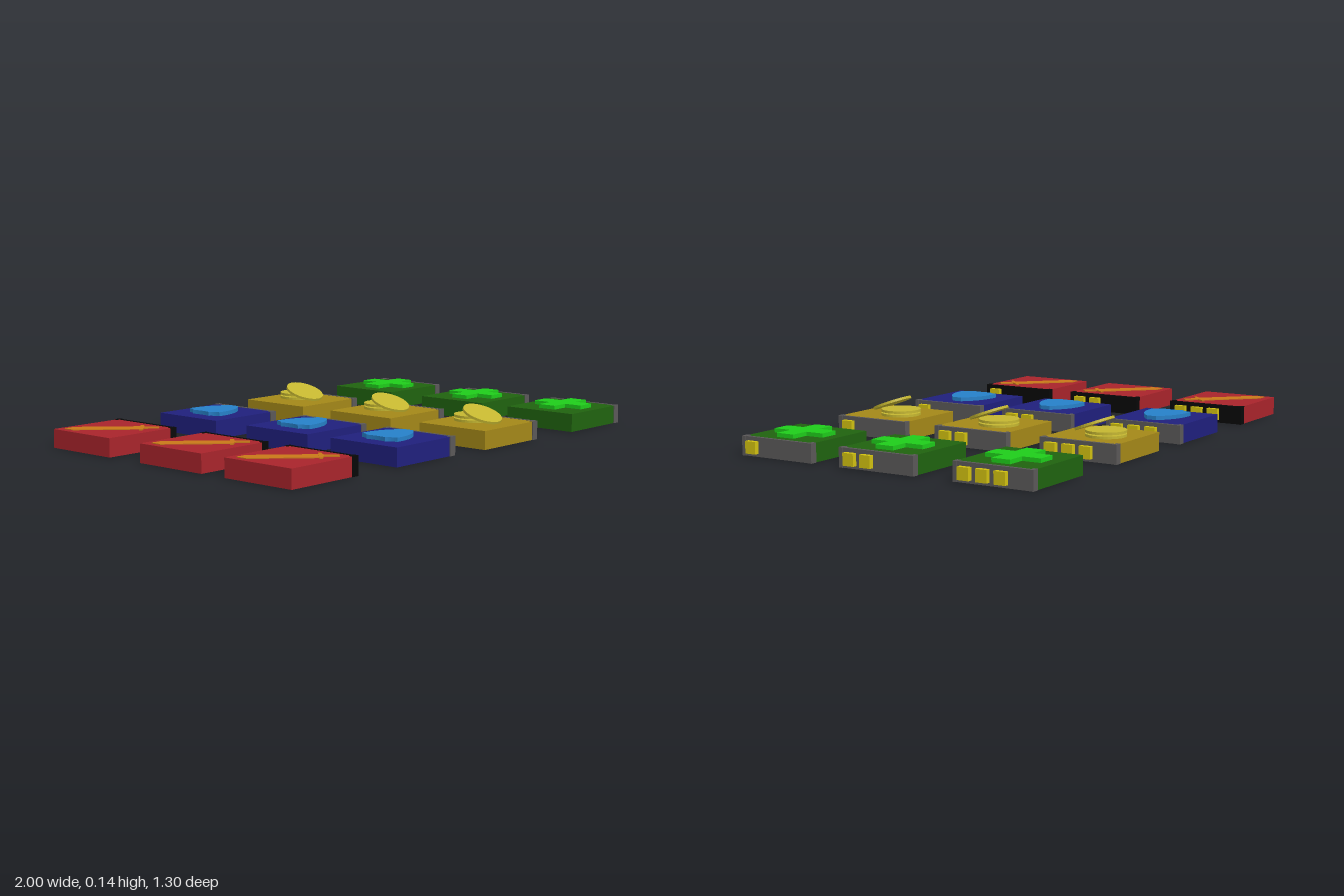
import * as THREE from 'three';

const mat = (color) => new THREE.MeshStandardMaterial({ color, flatShading: true });
const clasp = mat(0xd0c010);
const H = 0.074; // top face of a box

function add(parent, name, geometry, material, x = 0, y = 0, z = 0) {
  const mesh = new THREE.Mesh(geometry, material);
  mesh.name = name;
  mesh.position.set(x, y, z);
  parent.add(mesh);
  return mesh;
}

// Flat outline in (x, -z), raised by a thickness
function slab(shape, depth) {
  const g = new THREE.ExtrudeGeometry(shape, { depth, bevelEnabled: false, curveSegments: 8 });
  return g.rotateX(-Math.PI / 2);
}
const polygon = (points) => new THREE.Shape(points.map(([x, y]) => new THREE.Vector2(x, y)));

// Diagonal sword, lying almost flush in the lid
function sword() {
  const group = new THREE.Group();
  const steel = mat(0xc87818);
  const blade = polygon([[-0.184, 0], [-0.15, 0.033], [0.108, 0.033], [0.108, -0.033], [-0.15, -0.033]]);
  add(group, 'swordBlade', slab(blade, 0.006), steel, 0, H - 0.003);
  const guard = polygon([[0.106, 0.052], [0.118, 0.052], [0.126, 0], [0.118, -0.052], [0.106, -0.052]]);
  add(group, 'swordGuard', slab(guard, 0.008), steel, 0, H - 0.003);
  add(group, 'swordGrip', new THREE.BoxGeometry(0.07, 0.008, 0.026), steel, 0.145, H + 0.001);
  group.rotation.y = -Math.PI / 4;
  group.position.x = 0.157;
  return group;
}

// Shield with its point toward the spine
function shield() {
  const group = new THREE.Group();
  const s = new THREE.Shape();
  s.moveTo(0.094, 0.087);
  s.quadraticCurveTo(0.2, 0.092, 0.266, 0.02);
  s.lineTo(0.266, -0.02);
  s.quadraticCurveTo(0.2, -0.092, 0.094, -0.087);
  s.quadraticCurveTo(0.09, -0.058, 0.072, -0.045);
  s.quadraticCurveTo(0.082, 0, 0.072, 0.045);
  s.quadraticCurveTo(0.09, 0.058, 0.094, 0.087);
  add(group, 'shieldPlate', slab(s, 0.017), mat(0x2680c8), 0, H - 0.001);
  return group;
}

// Flat coins with one leaning on them
function coins() {
  const group = new THREE.Group();
  const gold = mat(0xc4b630);
  const disc = new THREE.CylinderGeometry(0.08, 0.08, 0.01, 32);
  add(group, 'lowerCoin', disc, gold, 0.187, 0.08, -0.035);
  add(group, 'upperCoin', disc, gold, 0.187, 0.095, -0.035);
  const leaning = add(group, 'leaningCoin', disc, gold, 0.144, 0.112, 0.04);
  leaning.rotation.x = 0.36;
  return group;
}

// Raised medical cross
function cross() {
  const group = new THREE.Group();
  const a = 0.039, b = 0.116;
  const s = polygon([[a, a], [a, b], [-a, b], [-a, a], [-b, a], [-b, -a],
    [-a, -a], [-a, -b], [a, -b], [a, -a], [b, -a], [b, a]]);
  add(group, 'crossPlate', slab(s, 0.017), mat(0x1ecc1a), 0.171, H - 0.001);
  return group;
}

// Box body, spine with wrapped ends, and one to three level tabs
function levelBox(color, spineColor, level, emblem) {
  const group = new THREE.Group();
  const spine = mat(spineColor);
  add(group, 'boxBody', new THREE.BoxGeometry(0.325, H, 0.326), mat(color), 0.1625, H / 2, 0);
  add(group, 'spinePlate', new THREE.BoxGeometry(0.014, 0.075, 0.31), spine, 0.33, 0.0375, 0);
  for (const side of [-1, 1]) {
    add(group, 'spineEnd', new THREE.BoxGeometry(0.03, 0.0755, 0.017), spine, 0.325, 0.03775, side * 0.158);
  }
  for (let i = 0; i < level; i++) {
    add(group, 'levelTab', new THREE.BoxGeometry(0.025, 0.048, 0.048), clasp, 0.3445, 0.036, 0.113 - i * 0.076);
  }
  const top = emblem();
  top.name = 'emblem';
  group.add(top);
  return group;
}

export function createModel() {
  const model = new THREE.Group();
  model.name = 'upgradeBoxes';
  // Columns: left edge, colours, emblem and the z centre of each row (three tabs first)
  const columns = [
    { name: 'swordBox', x: -1, color: 0xa8242b, spine: 0x080808, emblem: sword, rows: [-0.482, 0.015, 0.458] },
    { name: 'shieldBox', x: -0.443, color: 0x1f1f7c, spine: 0x5a5858, emblem: shield, rows: [-0.482, 0.015, 0.458] },
    { name: 'coinBox', x: 0.065, color: 0xa38718, spine: 0x5a5858, emblem: coins, rows: [-0.482, 0, 0.475] },
    { name: 'crossBox', x: 0.643, color: 0x1f620f, spine: 0x5a5858, emblem: cross, rows: [-0.482, 0.02, 0.482] },
  ];
  for (const c of columns) {
    c.rows.forEach((z, i) => {
      const box = levelBox(c.color, c.spine, 3 - i, c.emblem);
      box.name = c.name;
      box.position.set(c.x, 0, z);
      model.add(box);
    });
  }
  return model;
}
